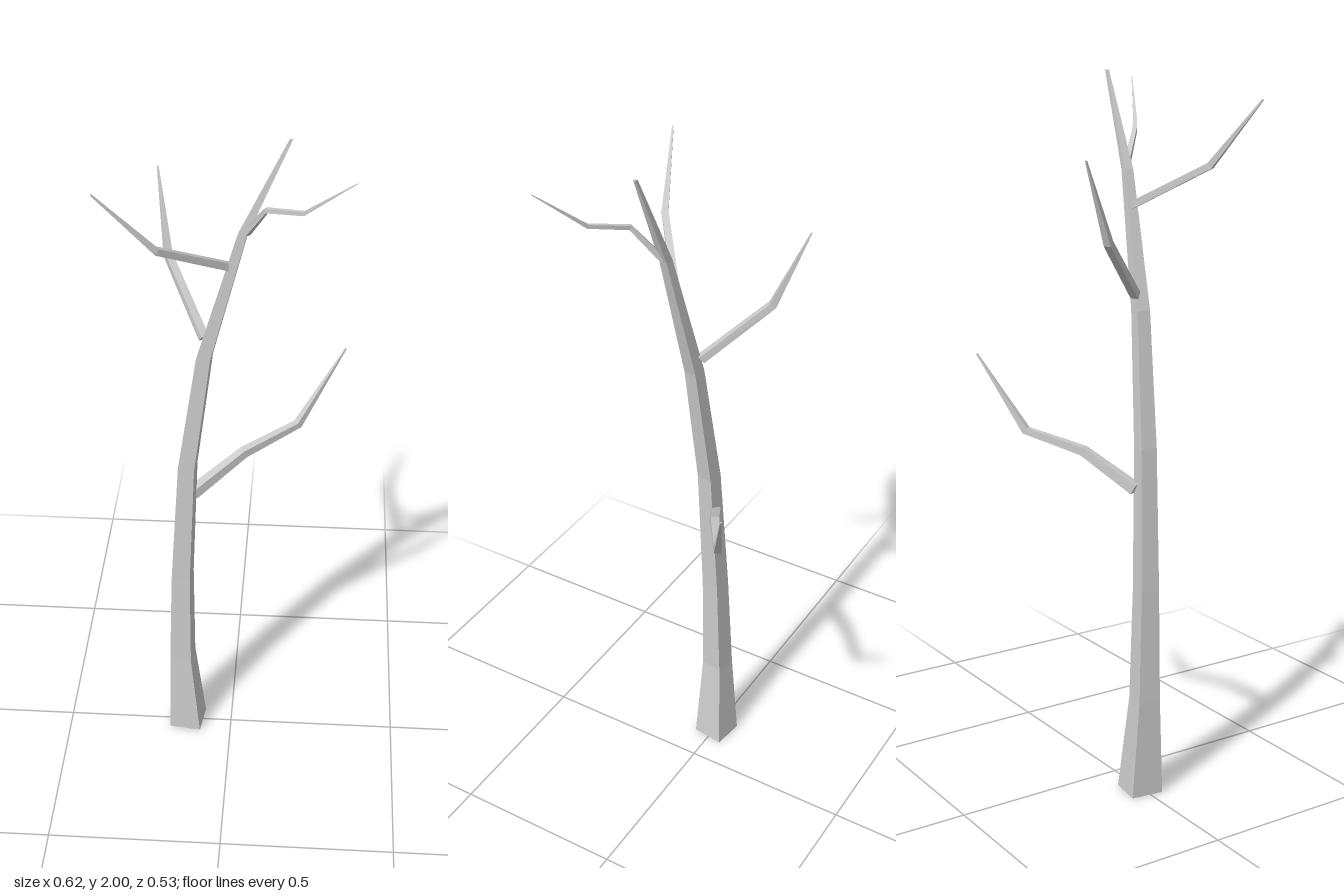
import * as THREE from 'three';

const V = (x, y, z) => new THREE.Vector3(x, y, z);

// Square tube through rows of [x, y, z, halfWidth]; axes(i, points) gives each section's u and v
function squareLimb(name, rows, axes, material) {
  const points = rows.map(r => V(r[0], r[1], r[2]));
  const rings = rows.map((r, i) => {
    const [u, v] = axes(i, points);
    return [[-1, -1], [1, -1], [1, 1], [-1, 1]].map(([a, b]) =>
      points[i].clone().addScaledVector(u, a * r[3]).addScaledVector(v, b * r[3]));
  });
  const pos = [];
  const quad = (a, b, c, d) => [a, b, c, a, c, d].forEach(p => pos.push(p.x, p.y, p.z));
  for (let i = 0; i < rings.length - 1; i++) {
    for (let k = 0; k < 4; k++) {
      const n = (k + 1) % 4;
      quad(rings[i][k], rings[i][n], rings[i + 1][n], rings[i + 1][k]);
    }
  }
  const first = rings[0], last = rings[rings.length - 1];
  quad(first[3], first[2], first[1], first[0]);
  quad(last[0], last[1], last[2], last[3]);
  const geometry = new THREE.BufferGeometry();
  geometry.setAttribute('position', new THREE.Float32BufferAttribute(pos, 3));
  geometry.computeVertexNormals();
  const mesh = new THREE.Mesh(geometry, material);
  mesh.name = name;
  return mesh;
}

// Trunk sections stay level, with a slight twist
const trunkAxes = () => {
  const t = 0.13;
  return [V(Math.cos(t), 0, Math.sin(t)), V(Math.sin(t), 0, -Math.cos(t))];
};

// Branch sections stand square to the path, one side kept horizontal
const branchAxes = (i, p) => {
  const before = p[Math.max(i - 1, 0)], after = p[Math.min(i + 1, p.length - 1)];
  const dir = after.clone().sub(before).normalize();
  const u = V(0, 1, 0).cross(dir).normalize();
  return [u, dir.clone().cross(u)];
};

export function createModel() {
  const group = new THREE.Group();
  group.name = 'bareTree';
  const bark = new THREE.MeshStandardMaterial({ color: 0xcccccc, flatShading: true });

  // Leaning trunk, flared at the foot
  group.add(squareLimb('trunk', [
    [-0.135, 0, -0.003, 0.047],
    [-0.147, 0.28, 0.003, 0.032],
    [-0.141, 0.6, 0.01, 0.027],
    [-0.119, 1.0, 0.021, 0.023],
    [-0.067, 1.37, 0.039, 0.019],
    [0.033, 1.74, 0.062, 0.012],
    [0.148, 2.0, 0.072, 0.004],
  ], trunkAxes, bark));

  // Crooked branches tapering to points
  const branches = {
    lowerLeftBranch: [
      [-0.11, 0.885, -0.005, 0.015], [0.03, 0.975, -0.085, 0.012],
      [0.18, 1.015, -0.18, 0.01], [0.308, 1.222, -0.262, 0.002]],
    rearRightBranch: [
      [-0.07, 1.412, 0.02, 0.011], [-0.175, 1.57, -0.135, 0.01],
      [-0.206, 1.785, -0.222, 0.002]],
    frontRightBranch: [
      [0, 1.645, 0.055, 0.01], [-0.17, 1.755, 0.19, 0.009],
      [-0.31, 1.928, 0.25, 0.002]],
    topLeftBranch: [
      [0.042, 1.745, 0.065, 0.008], [0.093, 1.84, 0.127, 0.006],
      [0.185, 1.866, 0.19, 0.005], [0.305, 1.98, 0.26, 0.001]],
  };
  for (const [name, rows] of Object.entries(branches)) {
    group.add(squareLimb(name, rows, branchAxes, bark));
  }
  return group;
}
